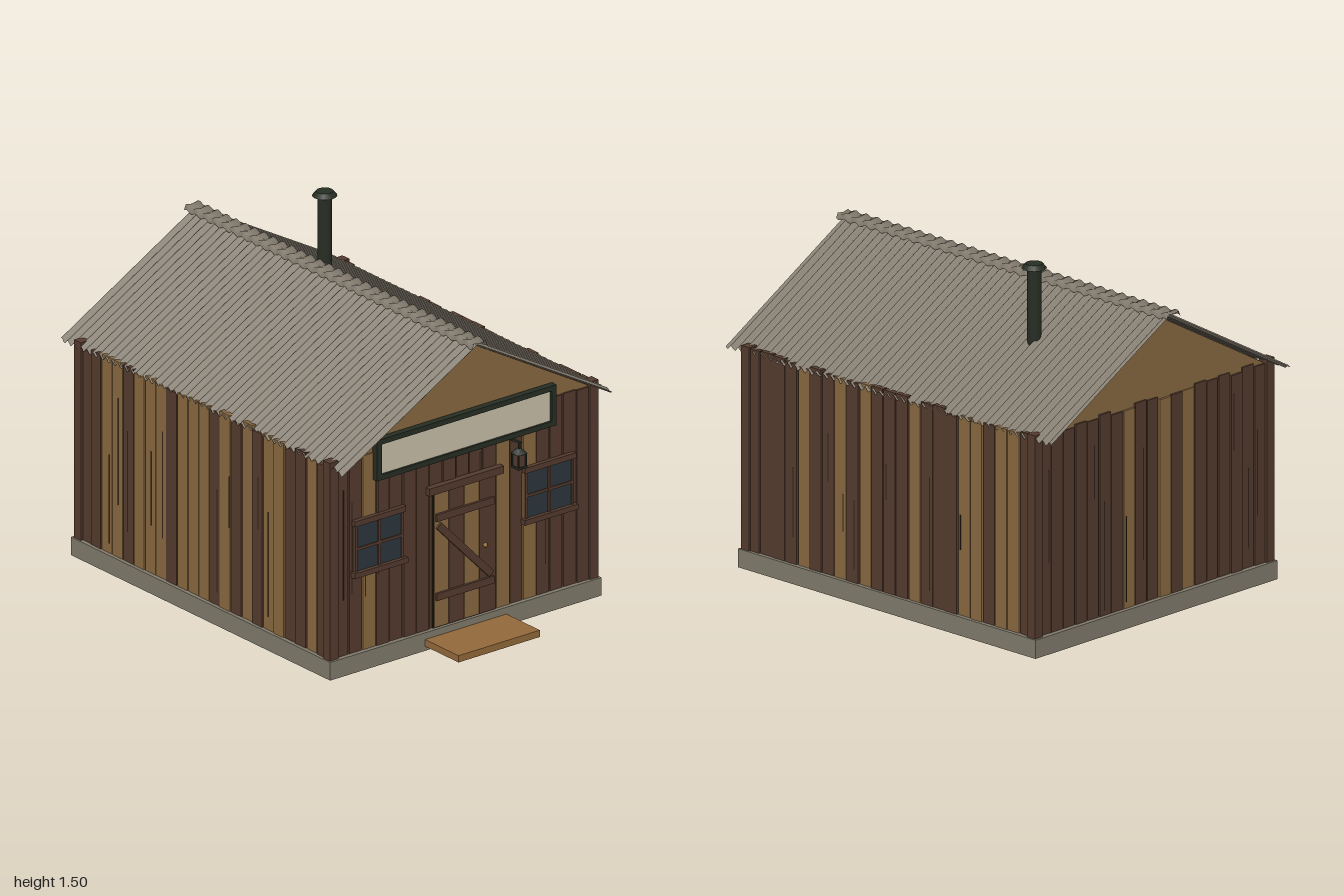
import * as THREE from 'three';

const mat = (name, color, side = THREE.FrontSide) => {
  const m = new THREE.MeshStandardMaterial({ color, side });
  m.name = name;
  return m;
};

export function createModel() {
  const dark = mat('dark wood', 0x533a2d);
  const tan = mat('tan wood', 0x886840);
  const gapMat = mat('shadow gap', 0x2e2019);
  const stone = mat('foundation stone', 0x807a6b);
  const tin = mat('roof tin', 0x7f776a, THREE.DoubleSide);
  const iron = mat('dark iron', 0x262d23);
  const cream = mat('sign cream', 0xc9bfa8);
  const glass = mat('window glass', 0x2d363d);
  const board = mat('step wood', 0x92683a);

  let seed = 7;
  const rnd = () => (seed = (seed * 16807) % 2147483647) / 2147483647;

  const model = new THREE.Group();
  model.name = 'cabin';
  const house = new THREE.Group();
  house.name = 'house';
  house.position.x = -0.06;
  model.add(house);

  const add = (parent, name, geo, material, x = 0, y = 0, z = 0) => {
    const m = new THREE.Mesh(geo, material);
    m.name = name;
    m.position.set(x, y, z);
    parent.add(m);
    return m;
  };
  // Box given by its limits on each axis
  const box = (parent, name, material, x0, x1, y0, y1, z0, z1) =>
    add(parent, name, new THREE.BoxGeometry(x1 - x0, y1 - y0, z1 - z0), material,
      (x0 + x1) / 2, (y0 + y1) / 2, (z0 + z1) / 2);

  // Foundation, inner core and corner posts
  box(house, 'foundation', stone, -0.843, 0.843, 0, 0.08, -0.71, 0.71);
  box(house, 'wallCore', gapMat, -0.81, 0.81, 0.08, 0.925, -0.675, 0.675);
  for (const sx of [-1, 1]) for (const sz of [-1, 1])
    add(house, 'cornerPost', new THREE.BoxGeometry(0.045, 0.875, 0.045), dark,
      sx * 0.81, 0.5175, sz * 0.68);

  // Plank wall: each letter is one plank, D dark or T tan, from left to right seen from outside
  const PLANK = 0.07;
  function wall(name, pattern, dist, angle) {
    const g = new THREE.Group();
    g.name = name;
    g.rotation.y = angle;
    house.add(g);
    [...pattern].forEach((c, i) => {
      const u = (i - pattern.length / 2) * PLANK;
      const top = 0.927 + rnd() * 0.025, face = dist - rnd() * 0.006;
      box(g, 'plank', c === 'T' ? tan : dark, u + 0.001 + rnd() * 0.003, u + PLANK - 0.001 - rnd() * 0.003,
        0.08, top, dist - 0.025, face);
      // Crack in some of the planks
      if (rnd() < 0.4) {
        const cu = u + 0.01 + rnd() * 0.05, h = 0.15 + rnd() * 0.35, y = 0.1 + rnd() * (0.78 - h);
        box(g, 'crack', gapMat, cu, cu + 0.005, y, y + h, face - 0.001, face + 0.001);
      }
    });
    return g;
  }
  wall('frontWall', 'DDTTDTTTDTTTDTDTDTTDDTD', 0.696, 0);
  wall('backWall', 'DDDDTDDTDTDDDTDDDTTDTTD', 0.696, Math.PI);
  wall('plainEndWall', 'DDDDDDDTDDTDTDDDDDD', 0.826, -Math.PI / 2);
  const entry = wall('entranceWall', 'DDTDDDDDDDDDTDTDDDD', 0.826, Math.PI / 2);

  // Gable and attic prism
  const tri = new THREE.Shape([[-0.68, 0.925], [0.68, 0.925], [0, 1.308]].map(p => new THREE.Vector2(...p)));
  const attic = new THREE.ExtrudeGeometry(tri, { depth: 1.63, bevelEnabled: false });
  attic.translate(0, 0, -0.815).rotateY(Math.PI / 2);
  add(house, 'gable', attic, tan);

  // Door: planks, lintel, Z brace and knob
  const door = new THREE.Group();
  door.name = 'door';
  entry.add(door);
  const edges = [-0.155, -0.08, 0, 0.08, 0.163];
  box(door, 'doorBacking', gapMat, -0.16, 0.168, 0.08, 0.69, 0.82, 0.828);
  for (let i = 0; i < 4; i++)
    box(door, 'doorPlank', i % 2 ? dark : tan, edges[i] + 0.001, edges[i + 1] - 0.002, 0.085, 0.685, 0.82, 0.832);
  box(door, 'doorLintel', dark, -0.195, 0.195, 0.68, 0.713, 0.82, 0.85);
  box(door, 'doorBatten', dark, -0.15, 0.15, 0.203, 0.235, 0.83, 0.843);
  box(door, 'doorBatten', dark, -0.15, 0.15, 0.553, 0.585, 0.83, 0.843);
  const brace = add(door, 'doorBrace', new THREE.BoxGeometry(0.395, 0.032, 0.012), dark, 0, 0.39, 0.836);
  brace.rotation.z = -Math.atan2(0.28, 0.27);
  add(door, 'doorKnob', new THREE.SphereGeometry(0.01, 12, 8), board, 0.105, 0.383, 0.84);

  // Windows
  for (const s of [-1, 1]) {
    const w = new THREE.Group();
    w.name = 'window';
    w.position.x = s * 0.445;
    entry.add(w);
    box(w, 'windowPane', glass, -0.118, 0.118, 0.43, 0.65, 0.822, 0.83);
    box(w, 'windowLintel', dark, -0.134, 0.134, 0.643, 0.667, 0.82, 0.842);
    box(w, 'windowSill', dark, -0.14, 0.14, 0.417, 0.44, 0.82, 0.848);
    box(w, 'windowBar', dark, -0.118, 0.118, 0.533, 0.545, 0.825, 0.836);
    box(w, 'windowBar', dark, -0.006, 0.006, 0.43, 0.65, 0.825, 0.837);
    for (const e of [-1, 1])
      box(w, 'windowJamb', dark, e * 0.121 - 0.006, e * 0.121 + 0.006, 0.43, 0.65, 0.82, 0.836);
  }

  // Blank sign board with frame
  box(entry, 'signBoard', cream, -0.45, 0.45, 0.84, 0.985, 0.82, 0.84);
  for (const s of [-1, 1]) {
    box(entry, 'signFrame', iron, -0.47, 0.47, 0.91 + s * 0.0785 - 0.0115, 0.91 + s * 0.0785 + 0.0115, 0.82, 0.85);
    box(entry, 'signFrame', iron, s * 0.457 - 0.013, s * 0.457 + 0.013, 0.82, 1.0, 0.82, 0.85);
  }

  // Hanging lantern
  const lamp = new THREE.Group();
  lamp.name = 'lantern';
  lamp.position.set(0.255, 0, 0.873);
  entry.add(lamp);
  box(lamp, 'lanternArm', iron, -0.005, 0.005, 0.804, 0.813, -0.05, 0.008);
  box(lamp, 'lanternHook', iron, -0.004, 0.004, 0.77, 0.808, -0.004, 0.004);
  const cap = add(lamp, 'lanternCap', new THREE.CylinderGeometry(0.012, 0.036, 0.022, 4), iron, 0, 0.772, 0);
  cap.rotation.y = Math.PI / 4;
  box(lamp, 'lanternBody', dark, -0.018, 0.018, 0.705, 0.763, -0.018, 0.018);
  box(lamp, 'lanternFoot', iron, -0.024, 0.024, 0.697, 0.706, -0.024, 0.024);
  for (const a of [-1, 1]) for (const b of [-1, 1])
    box(lamp, 'lanternPost', iron, a * 0.02 - 0.003, a * 0.02 + 0.003, 0.703, 0.765, b * 0.02 - 0.003, b * 0.02 + 0.003);

  // Corrugated sheet: profile [z, y, jitter] swept along x with a wave
  function corrugated(profile, x0, x1, period, amp) {
    const n = Math.round((x1 - x0) / period) * 8, rows = profile.length;
    const pos = [], idx = [];
    let slip = 0;
    for (let i = 0; i <= n; i++) {
      if (i % 24 === 0) slip = (rnd() - 0.5) * 0.012;
      const wave = amp * Math.sin(i / 8 * Math.PI * 2);
      profile.forEach(([z, y, jitter = 0], j) => {
        pos.push(x0 + (x1 - x0) * i / n, y + wave - 0.55 * slip * jitter, z + Math.sign(z) * slip * jitter);
        if (i < n && j < rows - 1) {
          const a = i * rows + j, b = a + rows;
          idx.push(a, b, b + 1, a, b + 1, a + 1);
        }
      });
    }
    const g = new THREE.BufferGeometry();
    g.setAttribute('position', new THREE.Float32BufferAttribute(pos, 3));
    g.setIndex(idx);
    g.computeVertexNormals();
    return g;
  }
  add(model, 'frontRoof', corrugated([[0.7, 0.932, 1], [0, 1.325]], -0.98, 0.86, 0.04, 0.008), tin);
  add(model, 'backRoof', corrugated([[0, 1.325], [-0.7, 0.932, 1]], -0.98, 0.86, 0.04, 0.008), tin);
  add(model, 'ridgeCap', corrugated([[0.04, 1.318], [0.03, 1.34], [0, 1.334], [-0.03, 1.34], [-0.04, 1.318]],
    -1, 0.875, 0.06, 0.005), tin);

  // Stove pipe
  add(model, 'stovePipe', new THREE.CylinderGeometry(0.03, 0.03, 0.38, 16), iron, -0.47, 1.285, -0.27);
  add(model, 'pipeCap', new THREE.CylinderGeometry(0.036, 0.052, 0.02, 16), iron, -0.47, 1.485, -0.27);

  // Door step
  box(model, 'doorStep', board, 0.78, 1, 0.02, 0.05, -0.213, 0.213);
  return model;
}
